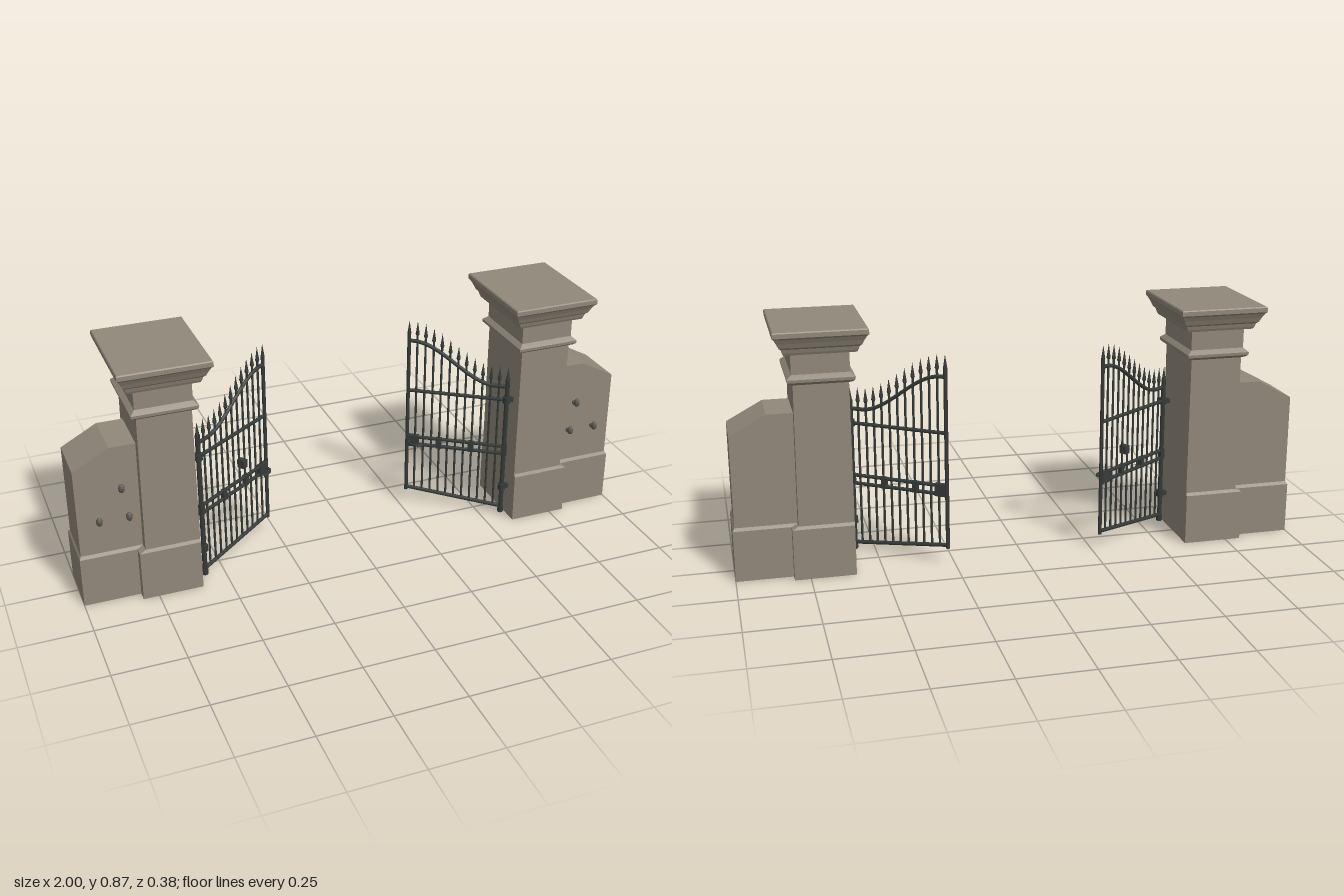
import * as THREE from 'three';

const mat = (name, color, extra = {}) => {
  const m = new THREE.MeshStandardMaterial({ color, ...extra });
  m.name = name;
  return m;
};

// Stack of rectangular sections [y, innerX, outerX, halfDepth], open below, closed on top
function loft(sections, side) {
  const rings = sections.map(([y, a, b, hz]) => {
    const x0 = Math.min(a * side, b * side), x1 = Math.max(a * side, b * side);
    return [[x0, y, hz], [x1, y, hz], [x1, y, -hz], [x0, y, -hz]];
  });
  const pos = [];
  const quad = (a, b, c, d) => pos.push(...a, ...b, ...c, ...a, ...c, ...d);
  for (let i = 0; i < rings.length - 1; i++)
    for (let k = 0; k < 4; k++) {
      const n = (k + 1) % 4;
      quad(rings[i][k], rings[i][n], rings[i + 1][n], rings[i + 1][k]);
    }
  quad(...rings[rings.length - 1]);
  const g = new THREE.BufferGeometry();
  g.setAttribute('position', new THREE.Float32BufferAttribute(pos, 3));
  g.computeVertexNormals();
  return g;
}

export function createModel() {
  const stone = mat('stone', 0x91887a, { side: THREE.DoubleSide });
  const iron = mat('dark iron', 0x363c3a);
  const fitting = mat('wall fitting grey', 0x5f5b54);
  const model = new THREE.Group();
  model.name = 'gateway';

  const add = (parent, name, geo, material, x = 0, y = 0, z = 0) => {
    const m = new THREE.Mesh(geo, material);
    m.name = name;
    m.position.set(x, y, z);
    parent.add(m);
    return m;
  };
  const box = (w, h, d) => new THREE.BoxGeometry(w, h, d);
  // Straight rod between two points
  const rod = (parent, name, a, b, r, material = iron, sides = 6) => {
    const p = new THREE.Vector3(...a), q = new THREE.Vector3(...b);
    const m = add(parent, name, new THREE.CylinderGeometry(r, r, p.distanceTo(q), sides), material);
    m.position.copy(p).lerp(q, 0.5);
    m.quaternion.setFromUnitVectors(new THREE.Vector3(0, 1, 0), q.sub(p).normalize());
  };

  // Pillar profile [y, half depth]; half width is 0.035 less
  const profile = [[0.68, 0.127], [0.685, 0.138], [0.692, 0.146], [0.702, 0.147], [0.71, 0.138],
    [0.716, 0.131], [0.786, 0.131], [0.787, 0.154], [0.795, 0.158], [0.808, 0.162], [0.814, 0.169],
    [0.83, 0.176], [0.845, 0.184], [0.851, 0.19], [0.866, 0.19], [0.87, 0.187]];
  const pillarSections = [[0, 0.595, 0.805, 0.135], [0.18, 0.595, 0.805, 0.135],
    [0.19, 0.595, 0.784, 0.128],
    ...profile.map(([y, h]) => [y, 0.688 - h + 0.035, 0.688 + h - 0.035, h])];
  const wallSections = [[0, 0.78, 1, 0.1], [0.18, 0.78, 1, 0.1], [0.19, 0.78, 0.994, 0.092],
    [0.51, 0.78, 0.994, 0.092], [0.577, 0.78, 0.87, 0.092]];

  // Top rail height along the gate, t from hinge to free edge
  const railTop = t => 0.53 + 0.145 * THREE.MathUtils.smoothstep(t, 0.12, 0.95);
  const railBottom = t => 0.035 + 0.038 * t;
  const L = 0.36, BARS = 13;

  function gate(side) {
    const g = new THREE.Group();
    g.name = side < 0 ? 'rightGate' : 'leftGate';
    const d = -side;
    const X = t => d * t * L;

    // Bars with spear heads
    for (let i = 0; i < BARS; i++) {
      const t = i / (BARS - 1), end = i === 0 || i === BARS - 1;
      const r = i === 0 ? 0.009 : end ? 0.007 : 0.0042;
      const top = railTop(t) + 0.03, low = i === 0 ? 0.01 : railBottom(t) - (end ? 0.012 : 0);
      rod(g, end ? 'gatePost' : 'gateBar', [X(t), low, 0], [X(t), top, 0], r);
      add(g, 'spearCollar', new THREE.SphereGeometry(0.0075, 6, 4), iron, X(t), top, 0);
      add(g, 'spearHead', new THREE.ConeGeometry(0.0075, 0.048, 6), iron, X(t), top + 0.024, 0);
    }
    add(g, 'pivotFoot', new THREE.CylinderGeometry(0.011, 0.011, 0.02, 8), iron, 0, 0.022, 0);

    // Rails
    for (const y of [0.258, 0.288, 0.478])
      rod(g, 'crossRail', [0, y, 0], [X(1), y, 0], 0.0065);
    rod(g, 'bottomRail', [0, railBottom(0), 0], [X(1), railBottom(1), 0], 0.007);
    const pts = [];
    for (let i = 0; i <= 12; i++) pts.push(new THREE.Vector3(X(i / 12), railTop(i / 12), 0));
    add(g, 'topRail', new THREE.TubeGeometry(new THREE.CatmullRomCurve3(pts), 24, 0.007, 6), iron);

    // Joint blocks, latch plate and pull handle
    for (const t of [0, 0.34, 0.67])
      add(g, 'railBlock', box(0.02, 0.042, 0.014), iron, X(t), 0.273, 0);
    add(g, 'latchPlate', box(0.045, 0.045, 0.016), iron, X(0.94), 0.273, 0);
    const handle = new THREE.QuadraticBezierCurve3(new THREE.Vector3(X(0.97), 0.273, 0),
      new THREE.Vector3(X(1), 0.273, 0.045), new THREE.Vector3(X(0.82), 0.273, 0.036));
    add(g, 'pullHandle', new THREE.TubeGeometry(handle, 10, 0.005, 6), iron);
    if (side < 0) add(g, 'lockBox', box(0.022, 0.03, 0.028), iron, X(0.63), 0.347, 0);

    g.position.set(side * 0.572, 0, 0.08);
    g.rotation.y = d * 0.6;
    return g;
  }

  for (const side of [-1, 1]) {
    const half = new THREE.Group();
    half.name = side < 0 ? 'rightSide' : 'leftSide';
    model.add(half);
    add(half, 'pillar', loft(pillarSections, side), stone);
    add(half, 'wall', loft(wallSections, side), stone);

    // Small fittings on the wall front
    for (const [x, y] of [[0.925, 0.315], [0.825, 0.315], [0.843, 0.425]]) {
      rod(half, 'wallPeg', [side * x, y, 0.088], [side * x, y, 0.118], 0.008, fitting);
      const knob = add(half, 'wallKnob', new THREE.SphereGeometry(0.011, 8, 6), fitting,
        side * x, y + 0.008, 0.115);
      knob.scale.set(1, 1.5, 0.9);
    }

    // Hinges between pillar and gate
    for (const y of [0.12, 0.478]) {
      add(half, 'hingeArm', box(0.036, 0.016, 0.016), iron, side * 0.584, y, 0.08);
      add(half, 'hingeCollar', new THREE.CylinderGeometry(0.014, 0.014, 0.024, 10), iron,
        side * 0.572, y, 0.08);
    }
    half.add(gate(side));
  }
  return model;
}
